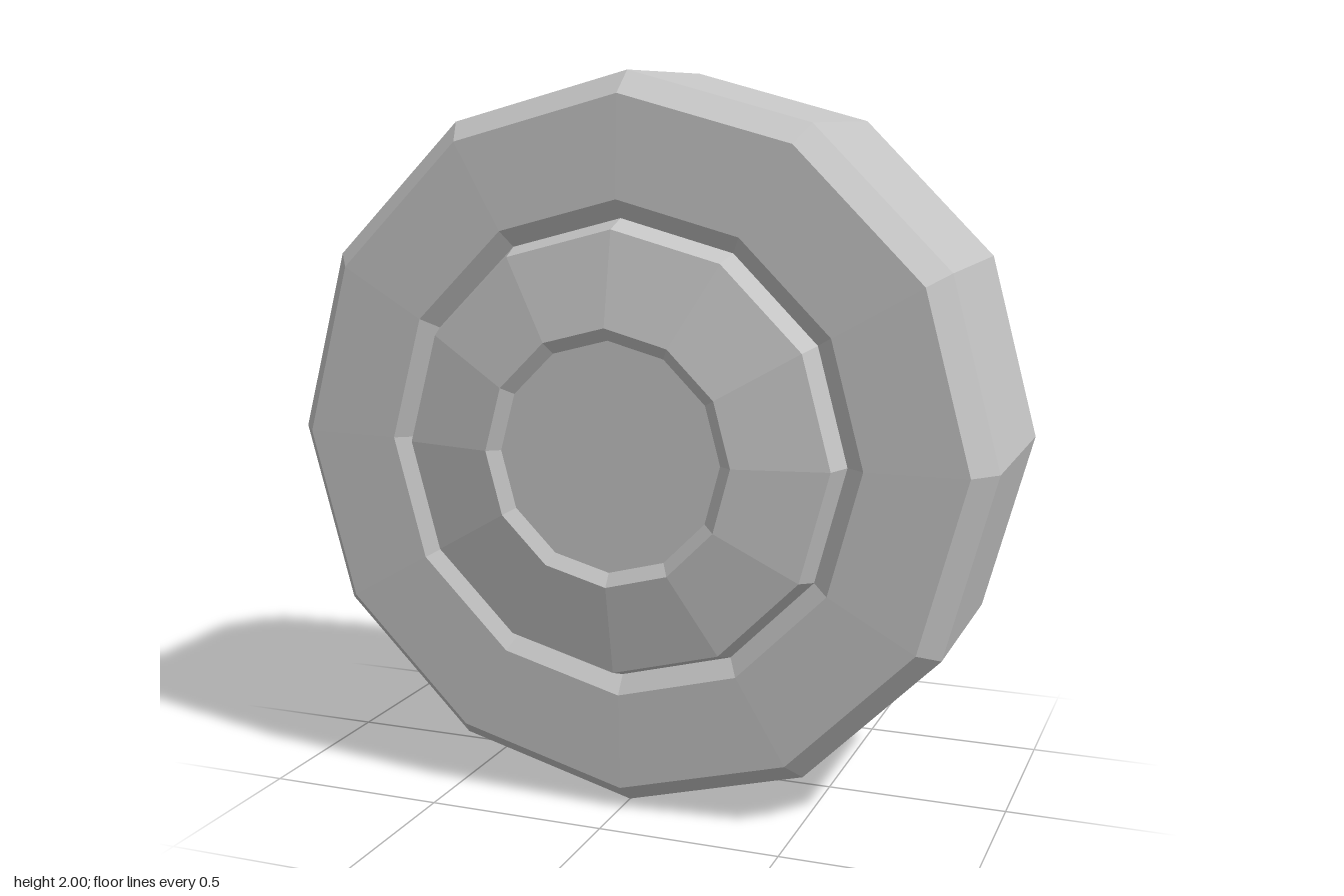
import * as THREE from 'three';

const SIDES = 12;

// Turns a [radius, depth] profile, listed back to front, around the z axis
function turned(name, profile, material) {
  const points = profile.map(([r, z]) => new THREE.Vector2(r, z));
  const geometry = new THREE.LatheGeometry(points, SIDES).rotateX(Math.PI / 2);
  const mesh = new THREE.Mesh(geometry, material);
  mesh.name = name;
  return mesh;
}

export function createModel() {
  const grey = new THREE.MeshStandardMaterial({ color: 0xc4c4c4 });
  grey.name = 'light grey';
  grey.flatShading = true;

  const wheel = new THREE.Group();
  wheel.name = 'wheel';

  // Tyre: groove wall, side wall, bevel and tread, mirrored front to back
  const side = [[1, 0.28], [0.94, 0.355], [0.67, 0.365], [0.62, 0.33]];
  const back = side.map(([r, z]) => [r, -z]).reverse();
  wheel.add(turned('tyre', [...back, ...side], grey));

  // Hub caps: raised rim, sloping dish and sunken centre
  const cap = [[0.62, 0.33], [0.595, 0.4], [0.345, 0.45], [0.31, 0.425], [0, 0.425]];
  for (const [name, turn] of [['frontHubCap', 0], ['backHubCap', Math.PI]]) {
    const hub = turned(name, cap, grey);
    hub.rotation.y = turn;
    wheel.add(hub);
  }

  wheel.position.y = 1;
  const model = new THREE.Group();
  model.name = 'wheelModel';
  model.add(wheel);
  return model;
}
